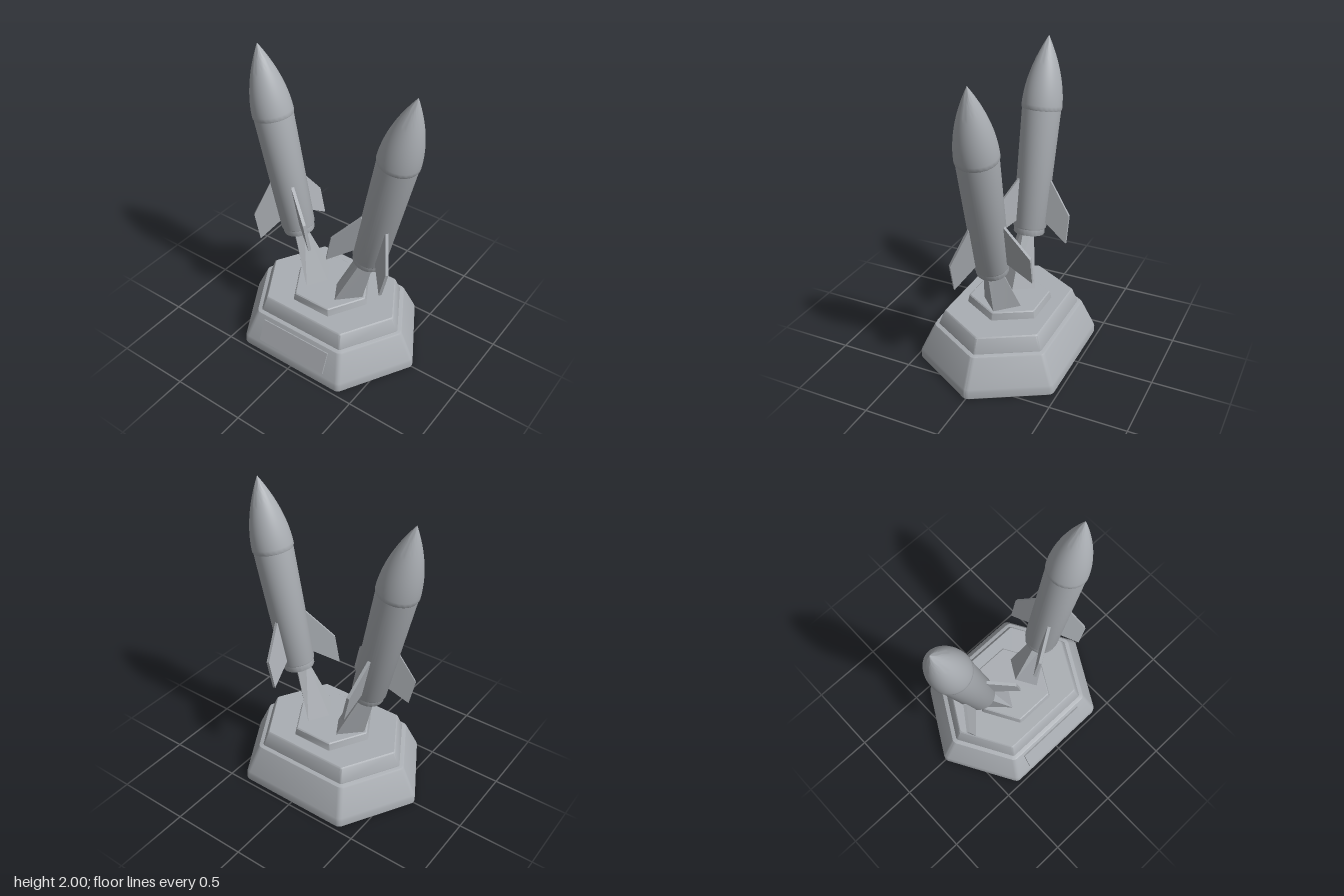
import * as THREE from 'three';
import { toCreasedNormals } from 'three/addons/utils/BufferGeometryUtils.js';

const RAD = Math.PI / 180;
const grey = new THREE.MeshStandardMaterial({ color: 0xaaaeb3 });
grey.name = 'grey';

function mesh(name, geometry, parent, crease = 30) {
  const m = new THREE.Mesh(toCreasedNormals(geometry, crease * RAD), grey);
  m.name = name;
  parent.add(m);
  return m;
}

// Closed solid through a stack of rings, listed bottom to top
function loft(rings) {
  const pos = [];
  const tri = (...pts) => pts.forEach((p) => pos.push(p.x, p.y, p.z));
  const n = rings[0].length;
  const middle = (ring) => ring.reduce((s, p) => s.add(p), new THREE.Vector3()).divideScalar(n);
  const low = rings[0], high = rings[rings.length - 1];
  const lowMid = middle(low), highMid = middle(high);
  for (let i = 0; i < n; i++) {
    const j = (i + 1) % n;
    for (let r = 0; r < rings.length - 1; r++) {
      const a = rings[r], b = rings[r + 1];
      tri(a[i], b[i], a[j]);
      tri(a[j], b[i], b[j]);
    }
    tri(lowMid, low[i], low[j]);
    tri(highMid, high[j], high[i]);
  }
  const g = new THREE.BufferGeometry();
  g.setAttribute('position', new THREE.Float32BufferAttribute(pos, 3));
  return g;
}

// Hexagon with rounded corners, lengthened along x
function hexRing(apothem, y, stretch, round) {
  const ring = [];
  const R = (apothem - round) / Math.cos(30 * RAD);
  for (let k = 0; k < 6; k++) {
    const c = k * 60 * RAD;
    for (let s = -1.5; s <= 1.5; s++) {
      const t = c + s * 20 * RAD;
      ring.push(new THREE.Vector3(
        R * Math.cos(c) + Math.sign(Math.cos(c)) * stretch + round * Math.cos(t),
        y,
        R * Math.sin(c) + round * Math.sin(t)));
    }
  }
  return ring;
}

const tier = (rows, stretch, round) =>
  loft(rows.map(([apothem, y]) => hexRing(apothem, y, stretch, round)));

const lathe = (pts) =>
  new THREE.LatheGeometry(pts.map(([r, y]) => new THREE.Vector2(r, y)), 48);

function buildRocket() {
  const rocket = new THREE.Group();
  const joint = 0.84, tip = 1.2985;

  // Hollow tail ring
  mesh('tailRing', lathe([[0, 0.06], [0.082, 0.06], [0.082, 0], [0.1, 0], [0.103, 0.006], [0.103, 0.05]]), rocket);
  // Tapered body
  mesh('body', lathe([[0, 0.042], [0.107, 0.042], [0.111, 0.05], [0.127, joint], [0, joint]]), rocket);

  // Curved nose with a small lip over the body
  const nose = [[0, joint - 0.008], [0.128, joint - 0.008]];
  for (let i = 0; i <= 20; i++) {
    const s = i / 20;
    nose.push([0.132 * (1 - s ** 1.9), joint + (tip - joint) * s]);
  }
  mesh('nose', lathe(nose), rocket, 35);

  // Three swept fins
  const outline = [[0.08, 0.1], [0.115, 0.085], [0.268, -0.022], [0.27, 0.165], [0.12, 0.372], [0.08, 0.372]];
  const shape = new THREE.Shape(outline.map(([r, y]) => new THREE.Vector2(r, y)));
  for (const angle of [90, -38, -142]) {
    const g = new THREE.ExtrudeGeometry(shape, { depth: 0.02, bevelEnabled: false });
    g.translate(0, 0, -0.01);
    mesh('fin', g, rocket).rotation.y = angle * RAD;
  }
  return rocket;
}

export function createModel() {
  const model = new THREE.Group();
  model.name = 'rocketTrophy';

  // Stepped hexagonal base
  const base = new THREE.Group();
  base.name = 'base';
  model.add(base);
  mesh('lowerTier', tier([[0.47, 0], [0.475, 0.006], [0.475, 0.05], [0.469, 0.068],
    [0.394, 0.245], [0.389, 0.253], [0.38, 0.257]], 0.11, 0.04), base);
  mesh('middleTier', tier([[0.362, 0.25], [0.362, 0.262], [0.33, 0.35], [0.322, 0.357]], 0.11, 0.02), base);
  mesh('upperTier', tier([[0.243, 0.35], [0.24, 0.365], [0.232, 0.402], [0.225, 0.408]], 0, 0.012), base);

  // Blank plaque on the sloping front
  const plaque = mesh('plaque', new THREE.BoxGeometry(0.52, 0.15, 0.014), base);
  plaque.position.set(0, 0.159, 0.434);
  plaque.rotation.x = -23 * RAD;

  // Kite-shaped pylon leaning outward
  const kite = (inner, outer, side, z, y) => [
    new THREE.Vector3(outer, y, 0), new THREE.Vector3(side, y, z),
    new THREE.Vector3(inner, y, 0), new THREE.Vector3(side, y, -z)];
  const pylon = loft([kite(0.034, 0.246, 0.112, 0.133, 0.4), kite(0.225, 0.34, 0.285, 0.042, 0.8)]);

  // Mirrored pair of pylons and rockets
  for (const side of [1, -1]) {
    const support = mesh(side > 0 ? 'leftPylon' : 'rightPylon', pylon, model, 15);
    support.rotation.y = side > 0 ? 0 : Math.PI;
    const rocket = buildRocket();
    rocket.name = side > 0 ? 'leftRocket' : 'rightRocket';
    rocket.position.set(side * 0.275, 0.732, -0.012);
    rocket.rotation.z = -side * 12.45 * RAD;
    model.add(rocket);
  }
  return model;
}
